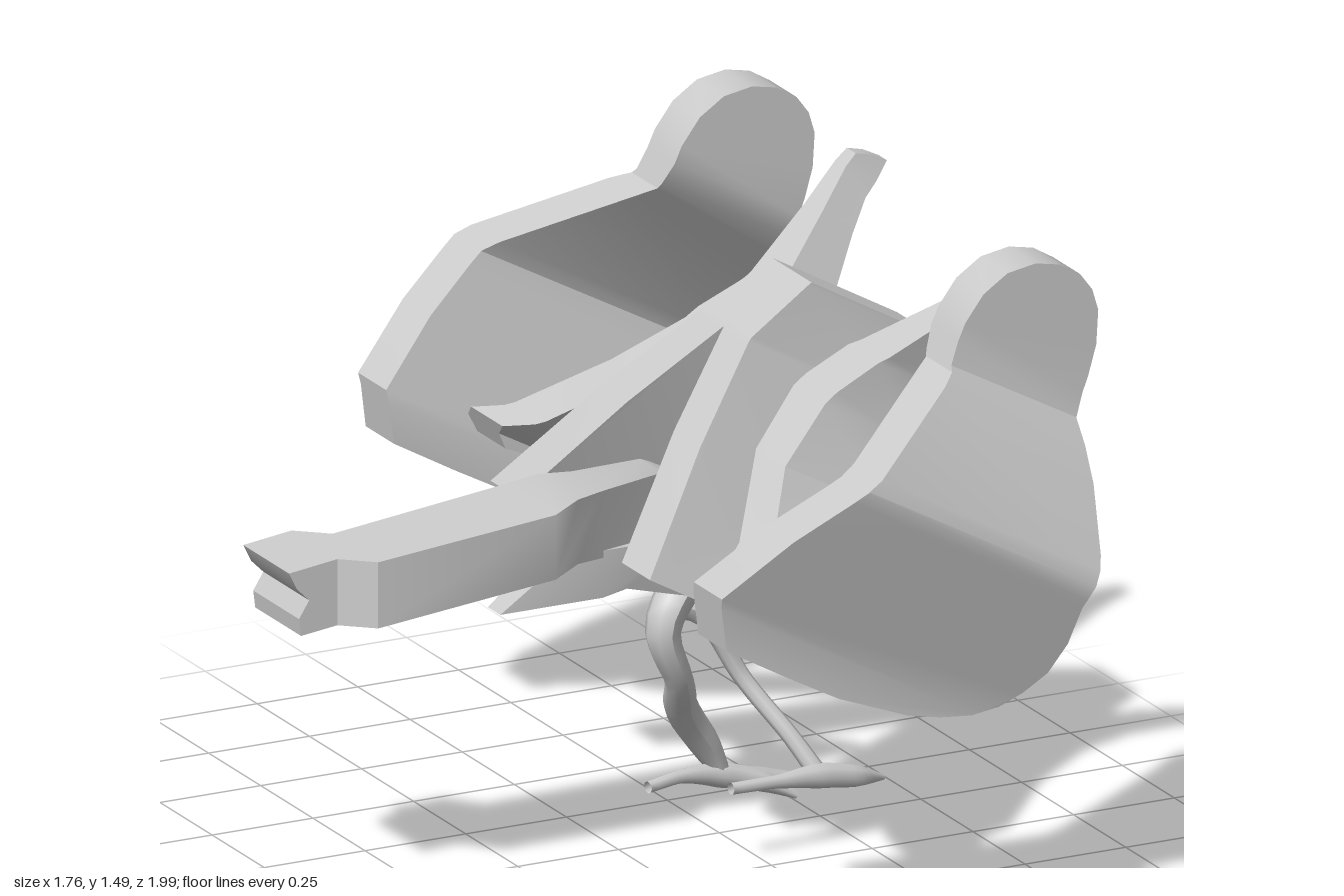
import * as THREE from 'three';
import { toCreasedNormals } from 'three/addons/utils/BufferGeometryUtils.js';

const material = new THREE.MeshStandardMaterial({ color: 0xcccccc, side: THREE.DoubleSide });
const SLANT = [0.48, 0.88]; // direction from tail and belly up to the head
const ALONG = [1, 0];

const vectors = (list) => list.map(([x, y]) => new THREE.Vector2(x, y));

// Keeps the part of a polygon where sign * (dir . p - limit) >= 0
function clip(ring, dir, limit, sign) {
  const out = [];
  const dist = (p) => sign * (p.x * dir[0] + p.y * dir[1] - limit);
  ring.forEach((a, i) => {
    const b = ring[(i + 1) % ring.length];
    const da = dist(a), db = dist(b);
    if (da >= 0) out.push(a);
    if (da * db < 0) out.push(a.clone().lerp(b, da / (da - db)));
  });
  return out;
}

// A sheet with an outline in x and y, folded in z along a direction.
// Each fold is [distance along dir, inner z, outer z].
function foldedSheet(name, outline, folds, dir, side = 1) {
  const along = (p) => p.x * dir[0] + p.y * dir[1];
  const depth = (p) => {
    const u = along(p);
    let k = folds.findIndex((f) => f[0] > u);
    if (k < 0) k = folds.length - 1;
    k = Math.max(k, 1);
    const a = folds[k - 1], b = folds[k];
    const t = THREE.MathUtils.clamp((u - a[0]) / (b[0] - a[0]), 0, 1);
    const z = [1, 2].map((j) => side * THREE.MathUtils.lerp(a[j], b[j], t));
    return side > 0 ? z : z.reverse();
  };
  const position = [];
  const put = (p, layer) => position.push(p.x, p.y, depth(p)[layer]);
  const cuts = [-9, ...folds.map((f) => f[0]), 9];
  for (let i = 0; i < cuts.length - 1; i++) {
    const ring = clip(clip(vectors(outline), dir, cuts[i], 1), dir, cuts[i + 1], -1);
    if (ring.length < 3) continue;
    if (THREE.ShapeUtils.isClockWise(ring)) ring.reverse();
    for (const [a, b, c] of THREE.ShapeUtils.triangulateShape(ring, [])) {
      [a, b, c].forEach((k) => put(ring[k], 1));
      [a, c, b].forEach((k) => put(ring[k], 0));
    }
    // rim, left open where the next band continues
    ring.forEach((a, k) => {
      const b = ring[(k + 1) % ring.length];
      const onCut = [cuts[i], cuts[i + 1]].some(
        (c) => Math.abs(along(a) - c) < 1e-6 && Math.abs(along(b) - c) < 1e-6);
      if (onCut) return;
      put(a, 0); put(b, 0); put(b, 1);
      put(a, 0); put(b, 1); put(a, 1);
    });
  }
  const geometry = new THREE.BufferGeometry();
  geometry.setAttribute('position', new THREE.Float32BufferAttribute(position, 3));
  return named(name, toCreasedNormals(geometry, 0.6));
}

function named(name, geometry) {
  const mesh = new THREE.Mesh(geometry, material);
  mesh.name = name;
  return mesh;
}

// A round limb through points [x, y, z, radius]
function limb(name, points) {
  const n = 20, sides = 8;
  const curve = new THREE.CatmullRomCurve3(points.map((p) => new THREE.Vector3(p[0], p[1], p[2])));
  const geometry = new THREE.TubeGeometry(curve, n, 1, sides);
  const pos = geometry.attributes.position, v = new THREE.Vector3();
  for (let i = 0; i <= n; i++) {
    const centre = curve.getPointAt(i / n);
    const s = curve.getUtoTmapping(i / n) * (points.length - 1);
    const k = Math.min(Math.floor(s), points.length - 2);
    const r = THREE.MathUtils.lerp(points[k][3], points[k + 1][3], s - k);
    for (let j = 0; j <= sides; j++) {
      const id = i * (sides + 1) + j;
      v.fromBufferAttribute(pos, id).sub(centre).multiplyScalar(r).add(centre);
      pos.setXYZ(id, v.x, v.y, v.z);
    }
  }
  geometry.computeVertexNormals();
  return named(name, geometry);
}

export function createModel() {
  const model = new THREE.Group();
  model.name = 'slicedBird';

  // outer slices: whole body and head
  const bodyOutline = [
    [-0.18, 0.755], [-0.03, 0.67], [0.1, 0.6], [0.27, 0.535], [0.35, 0.518], [0.43, 0.51],
    [0.49, 0.525], [0.54, 0.555], [0.59, 0.6], [0.625, 0.67], [0.645, 0.76], [0.7, 0.87],
    [0.735, 1.0], [0.745, 1.12], [0.78, 1.21], [0.8, 1.28], [0.805, 1.36], [0.79, 1.41],
    [0.76, 1.45], [0.71, 1.48], [0.65, 1.492], [0.58, 1.48], [0.52, 1.44], [0.475, 1.38],
    [0.43, 1.28], [0.11, 1.12], [-0.05, 1.01], [-0.195, 0.88]];
  const bodyFolds = [[0.66, 0.73, 0.865], [1.0, 0.855, 0.985], [1.035, 0.865, 0.995],
    [1.07, 0.85, 0.985], [1.3, 0.67, 0.805], [1.345, 0.635, 0.755], [1.4, 0.615, 0.745]];

  // middle slices: narrow wing running up into the beak
  const wingOutline = [
    [0.03, 0.75], [0.1, 0.72], [0.34, 0.72], [0.45, 0.85], [0.56, 1.02], [0.64, 1.12],
    [0.74, 1.23], [0.8, 1.285], [0.845, 1.31], [0.88, 1.345], [0.84, 1.365], [0.8, 1.375],
    [0.66, 1.28], [0.5, 1.17], [0.37, 1.11], [0.2, 0.99], [0.06, 0.85], [0, 0.82]];
  const wingFolds = [[0.7, 0.6, 0.75], [0.76, 0.48, 0.63], [0.966, 0.275, 0.415],
    [1.12, 0.185, 0.335], [1.25, 0.18, 0.325], [1.45, 0.315, 0.395], [1.56, 0.395, 0.445],
    [1.61, 0.415, 0.455]];

  // core: two halves joined at the nose, spreading straight toward the back
  const coreOutline = [
    [-0.12, 0.765], [0.22, 0.575], [0.27, 0.6], [0.5, 0.765], [0.69, 0.9], [0.72, 0.95],
    [0.74, 1.02], [0.74, 1.11], [0.43, 1.285], [0.27, 1.19], [0.08, 1.0]];
  const coreFolds = [[0.61, 0.25, 0.385], [1.165, 0, 0.12], [1.33, 0, 0.095]];

  for (const [side, label] of [[1, 'Front'], [-1, 'Rear']]) {
    model.add(
      foldedSheet('bodySlice' + label, bodyOutline, bodyFolds, SLANT, side),
      foldedSheet('wingAndBeak' + label, wingOutline, wingFolds, SLANT, side),
      foldedSheet('core' + label, coreOutline, coreFolds, SLANT, side));
  }

  // tail with a stepped, notched end
  model.add(foldedSheet('tail', [
    [-0.88, 0.82], [-0.86, 0.78], [-0.83, 0.75], [-0.855, 0.71], [-0.85, 0.67], [-0.19, 0.75],
    [0.1, 0.7], [0.25, 0.8], [0.1, 0.87], [-0.19, 0.9], [-0.72, 0.84]],
  [[-0.88, -0.1, 0.12], [-0.76, -0.1, 0.12], [-0.7, -0.02, 0.2], [-0.27, -0.02, 0.22],
    [-0.1, -0.03, 0.12], [0.13, -0.1, 0], [0.25, -0.03, 0.01]], ALONG));
  model.add(foldedSheet('lowerTail', [
    [-0.34, 0.63], [-0.03, 0.645], [0.1, 0.6], [0.22, 0.56], [0.15, 0.72], [-0.17, 0.76]],
  [[-0.34, 0.03, 0.09], [-0.1, 0.01, 0.12], [0.22, -0.09, 0.02]], ALONG));

  // thin strut under the belly
  const strut = named('bellyStrut', new THREE.BoxGeometry(0.08, 0.035, 0.34));
  strut.position.set(0.21, 0.563, -0.165);
  model.add(strut);

  // legs and toes
  const limbs = {
    rearLeg: [[0.17, 0.6, -0.02, 0.05], [0.11, 0.5, 0, 0.042], [0.16, 0.37, -0.02, 0.033],
      [0.22, 0.26, -0.12, 0.04], [0.3, 0.15, -0.16, 0.035], [0.34, 0.08, -0.16, 0.02]],
    frontLeg: [[0.15, 0.55, -0.02, 0.035], [0.21, 0.52, 0, 0.028], [0.29, 0.37, 0.03, 0.02],
      [0.36, 0.25, 0.13, 0.02], [0.4, 0.17, 0.19, 0.022]],
    frontFoot: [[0.165, 0.185, 0.22, 0.014], [0.28, 0.18, 0.21, 0.015], [0.4, 0.17, 0.19, 0.03],
      [0.5, 0.15, 0.18, 0.025], [0.575, 0.13, 0.16, 0.006]],
    frontToe: [[0.4, 0.175, 0.19, 0.025], [0.47, 0.15, 0.16, 0.02], [0.54, 0.13, 0.14, 0.006]],
    rearFoot: [[0.135, 0.09, -0.12, 0.014], [0.23, 0.095, -0.14, 0.016], [0.34, 0.075, -0.16, 0.03],
      [0.44, 0.045, -0.15, 0.022], [0.51, 0.01, -0.13, 0.008]],
    rearToe: [[0.34, 0.075, -0.16, 0.025], [0.45, 0.05, -0.18, 0.02], [0.565, 0.03, -0.18, 0.006]],
  };
  for (const [name, points] of Object.entries(limbs)) model.add(limb(name, points));

  return model;
}
